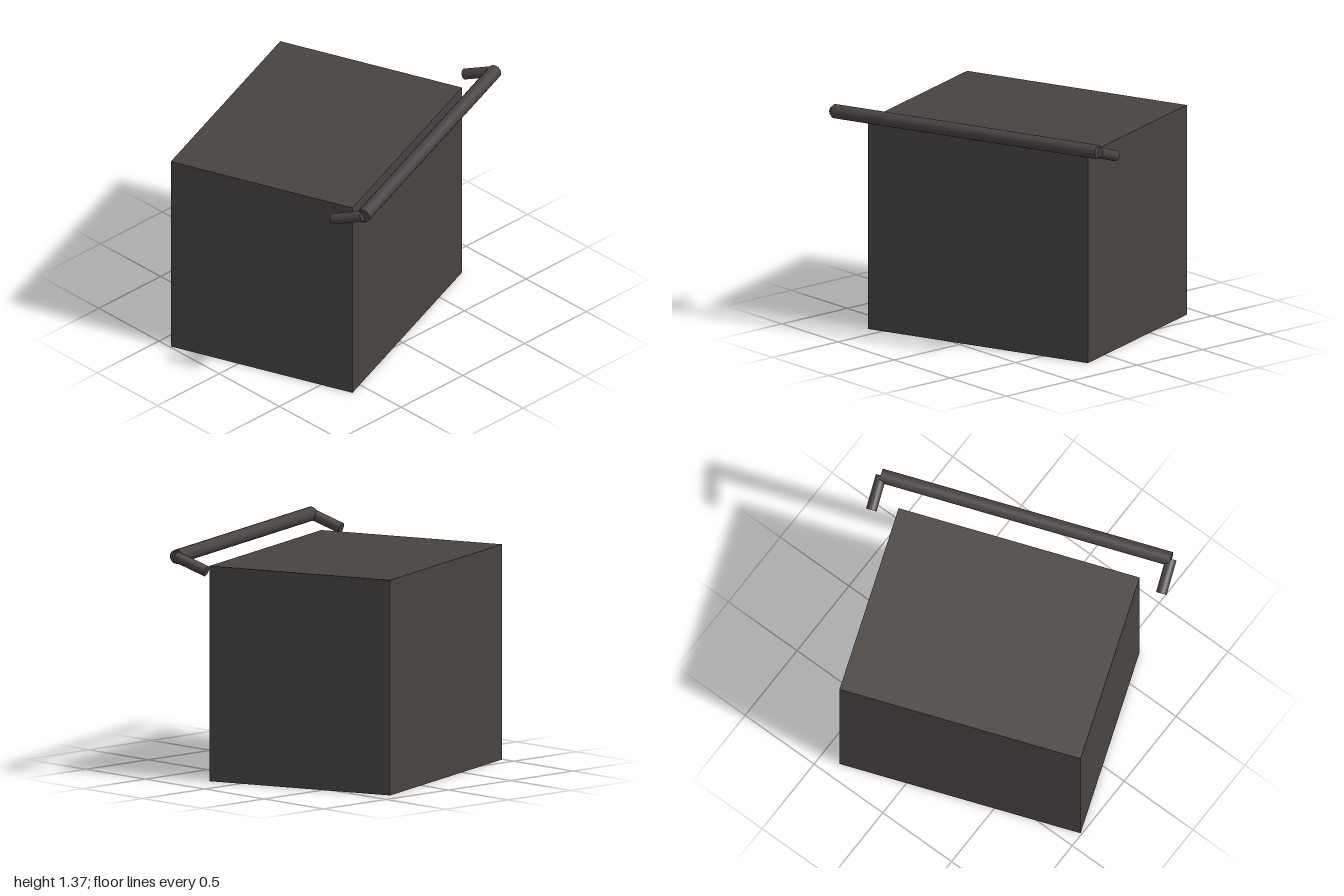
import * as THREE from 'three';

export function createModel() {
  const model = new THREE.Group();
  const charcoal = new THREE.MeshStandardMaterial({ color: 0x474341 });
  charcoal.name = 'charcoal';

  // Everything shares one frame, turned 20 degrees about the vertical
  const body = new THREE.Group();
  body.name = 'turnedBody';
  body.position.set(-0.11, 0, 0.105);
  body.rotation.y = THREE.MathUtils.degToRad(20);
  model.add(body);

  const add = (name, geometry) => {
    const mesh = new THREE.Mesh(geometry, charcoal);
    mesh.name = name;
    body.add(mesh);
    return mesh;
  };

  // Round rod between two points
  const rod = (name, from, to, radius) => {
    const axis = to.clone().sub(from);
    const mesh = add(name, new THREE.CylinderGeometry(radius, radius, axis.length(), 20));
    mesh.position.copy(from).add(to).multiplyScalar(0.5);
    mesh.quaternion.setFromUnitVectors(new THREE.Vector3(0, 1, 0), axis.normalize());
  };

  // Main block
  add('block', new THREE.BoxGeometry(1.17, 1.265, 1.463)).position.y = 0.6325;

  // Long handle bar beside the top edge
  const barX = 0.725, barY = 1.33, halfLength = 0.88;
  rod('handleBar',
    new THREE.Vector3(barX, barY, -halfLength),
    new THREE.Vector3(barX, barY, halfLength), 0.0415);

  // Short arms sloping down from each end of the bar
  for (const side of [-1, 1]) {
    rod(side < 0 ? 'backArm' : 'frontArm',
      new THREE.Vector3(barX, barY, side * halfLength),
      new THREE.Vector3(0.53, 1.259, side * halfLength), 0.032);
  }

  return model;
}
